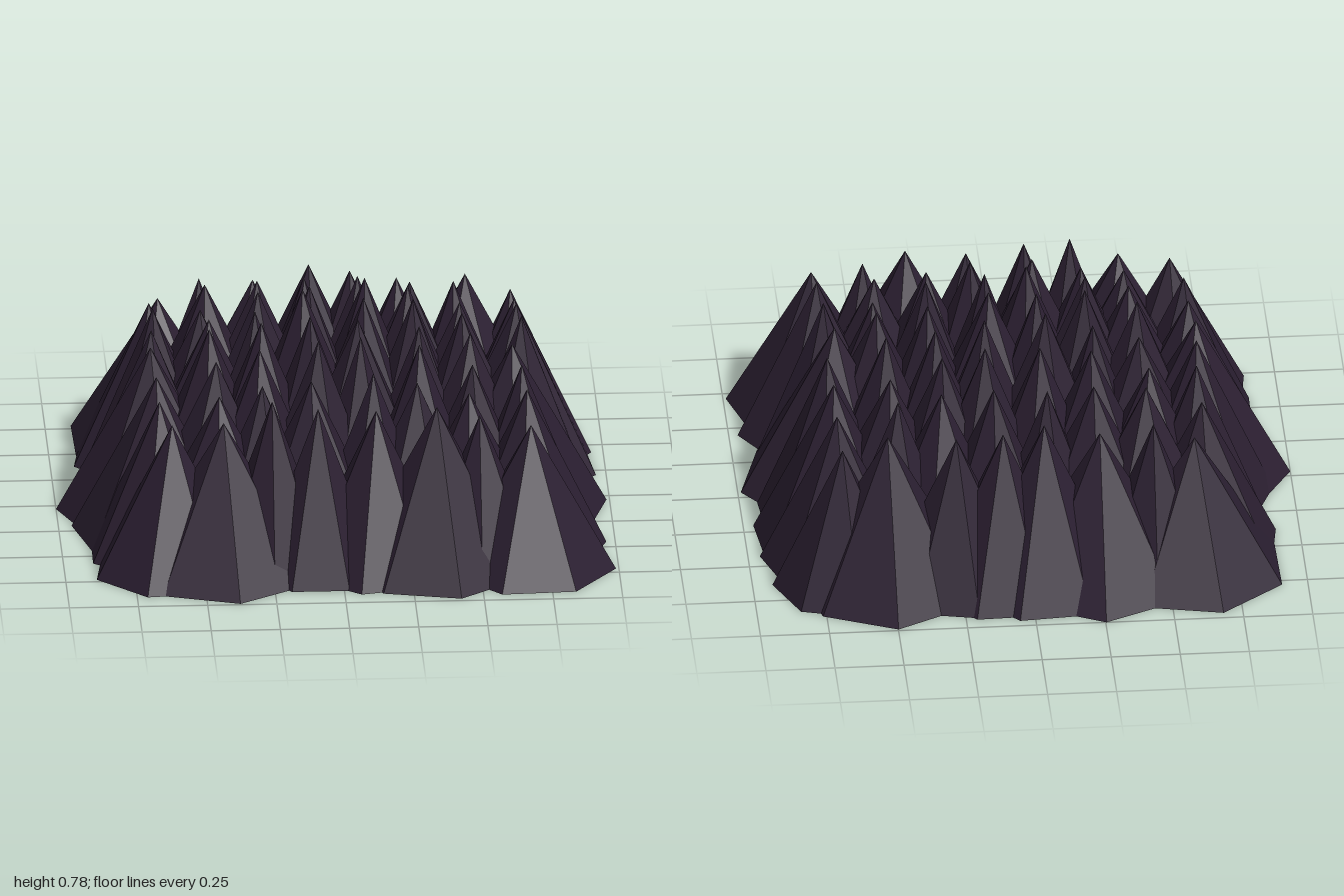
import * as THREE from 'three';

// Small seeded generator returning -1..1
function seeded(seed) {
  let s = seed;
  return () => {
    s = (s * 16807) % 2147483647;
    return (s / 2147483647) * 2 - 1;
  };
}

// Rows and columns of the inner spikes
const COLS = [-0.45, -0.26, -0.09, 0.11, 0.29, 0.48];
const ROWS = [-0.48, -0.29, -0.09, 0.1, 0.28, 0.48];

// Outer spikes: [base corner x, z, tip x, z]; the corner sets radius and turn
const BACK = [
  [-0.68, -0.965, -0.6, -0.637], [-0.45, -0.89, -0.45, -0.65],
  [-0.253, -1, -0.255, -0.67], [0.056, -0.965, -0.052, -0.685],
  [0.21, -0.944, 0.097, -0.688], [0.2, -0.935, 0.265, -0.67],
  [0.499, -0.992, 0.512, -0.66], [0.84, -0.837, 0.675, -0.645],
];
const FRONT = [
  [-0.712, 0.912, -0.611, 0.639], [-0.381, 0.992, -0.426, 0.662],
  [-0.25, 0.88, -0.25, 0.65], [0.019, 0.885, -0.085, 0.669],
  [0.061, 0.923, 0.126, 0.65], [0.419, 0.981, 0.345, 0.66],
  [0.5, 0.89, 0.5, 0.65], [0.835, 0.933, 0.685, 0.663],
];
const LEFT_EDGE = [
  [-0.915, -0.379, -0.64, -0.468], [-0.893, -0.32, -0.635, -0.29],
  [-0.93, -0.075, -0.65, -0.097], [-1, 0.032, -0.66, 0.056],
  [-0.952, 0.197, -0.649, 0.262], [-0.893, 0.571, -0.648, 0.458],
];
const RIGHT_EDGE = [
  [0.957, -0.427, 0.68, -0.461], [0.963, -0.203, 0.68, -0.305],
  [0.936, -0.043, 0.69, -0.137], [0.989, 0.037, 0.645, 0.1],
  [0.92, 0.28, 0.67, 0.29], [0.968, 0.448, 0.68, 0.478],
];

export function createModel() {
  const group = new THREE.Group();
  group.name = 'spikeField';
  const darkPlum = new THREE.MeshStandardMaterial({ color: 0x2b1f31, flatShading: true });
  darkPlum.name = 'darkPlum';
  const rand = seeded(4271);

  // Seven-sided spike, taller towards the middle of the field
  function addSpike(name, x, z, radius, turn) {
    const height = 0.81 - 0.27 * Math.hypot(x, z) + rand() * 0.03;
    const spike = new THREE.Mesh(new THREE.ConeGeometry(radius, height, 7), darkPlum);
    spike.position.set(x, height / 2, z);
    spike.rotation.y = turn;
    spike.name = name;
    group.add(spike);
  }

  // Ring of outer spikes
  const edges = { backSpike: BACK, frontSpike: FRONT, leftSpike: LEFT_EDGE, rightSpike: RIGHT_EDGE };
  for (const [name, spikes] of Object.entries(edges)) {
    spikes.forEach(([cornerX, cornerZ, x, z], i) => {
      const dx = cornerX - x;
      const dz = cornerZ - z;
      addSpike(`${name}${i + 1}`, x, z, Math.hypot(dx, dz), Math.atan2(dx, dz));
    });
  }

  // Overlapping inner spikes, slightly scattered
  ROWS.forEach((rowZ, j) => COLS.forEach((colX, i) => {
    const x = colX + rand() * 0.025;
    const z = rowZ + rand() * 0.025;
    addSpike(`innerSpike${j + 1}_${i + 1}`, x, z, 0.29 + rand() * 0.04, rand() * Math.PI);
  }));

  return group;
}
